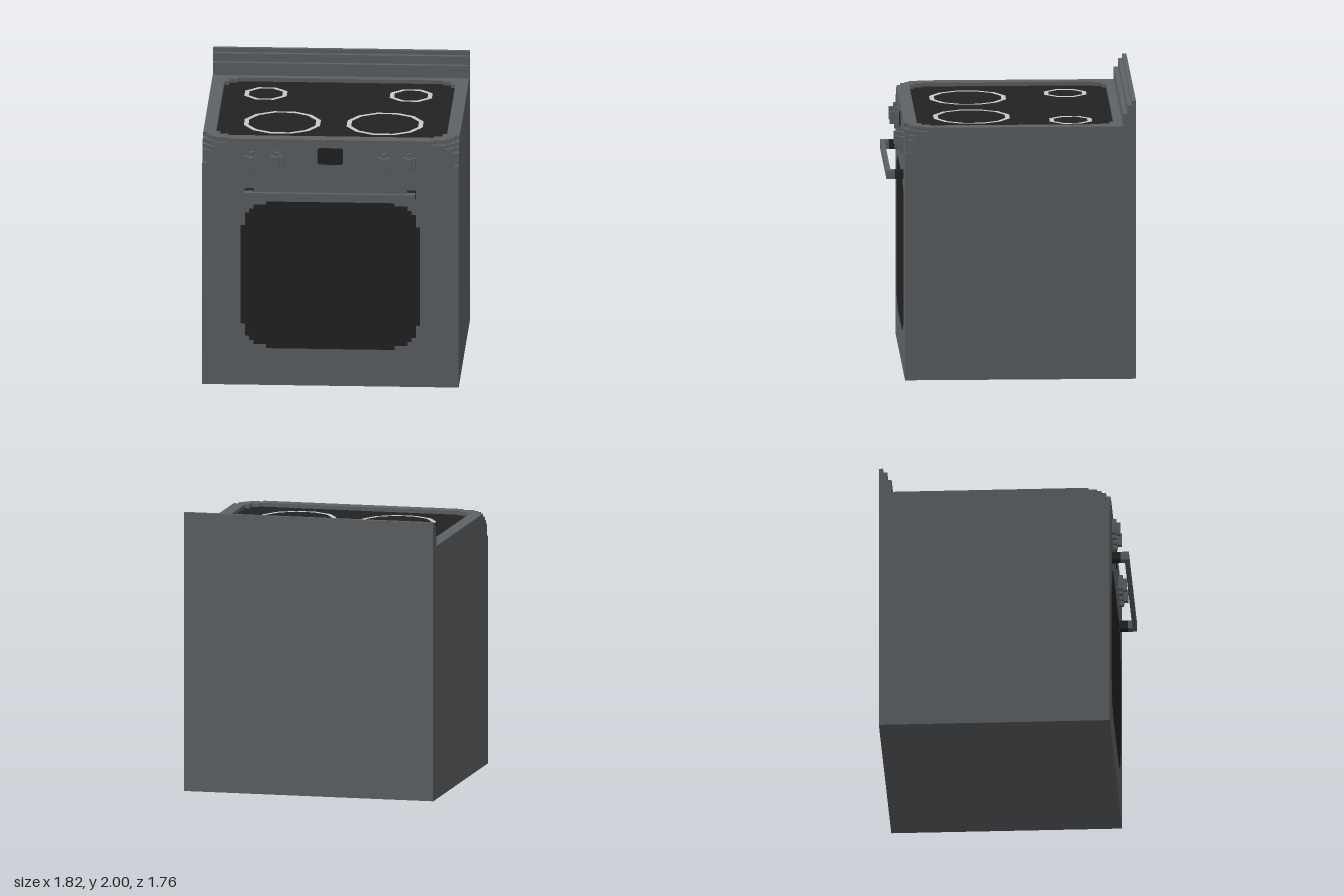
import * as THREE from 'three';

const V = 2 / 66; // one block; all sizes below are in blocks

const steel = new THREE.MeshStandardMaterial({ color: 0x5f6366 });
steel.name = 'steel grey';
const black = new THREE.MeshStandardMaterial({ color: 0x222222 });
black.name = 'glass black';
const light = new THREE.MeshStandardMaterial({ color: 0xcacaca });
light.name = 'ring light grey';

function add(parent, name, geometry, material) {
  const mesh = new THREE.Mesh(geometry, material);
  mesh.name = name;
  parent.add(mesh);
  return mesh;
}

// Box given by its min and max corners
function box(parent, name, material, [x0, x1], [y0, y1], [z0, z1]) {
  const g = new THREE.BoxGeometry((x1 - x0) * V, (y1 - y0) * V, (z1 - z0) * V);
  g.translate((x0 + x1) / 2 * V, (y0 + y1) / 2 * V, (z0 + z1) / 2 * V);
  return add(parent, name, g, material);
}

// Rectangle outline with stepped corners; steps are [inset x, inset y] from
// the side edge to the horizontal edge
function steppedPoints(hw, y0, y1, low, high) {
  const right = [
    ...[...low].reverse().map(([a, b]) => [hw - a, y0 + b]),
    ...high.map(([a, b]) => [hw - a, y1 - b]),
  ];
  const left = [...right].reverse().map(([x, y]) => [-x, y]);
  return [...right, ...left].map(([x, y]) => new THREE.Vector2(x * V, y * V));
}

// Horizontal slab extruded upward from a plan outline (outline y = -z)
function slab(parent, name, material, shape, y0, y1) {
  const g = new THREE.ExtrudeGeometry(shape, { depth: (y1 - y0) * V, bevelEnabled: false });
  g.rotateX(-Math.PI / 2).translate(0, y0 * V, 0);
  return add(parent, name, g, material);
}

// Thin panel on the front face
function panel(parent, name, points) {
  const g = new THREE.ExtrudeGeometry(new THREE.Shape(points), { depth: 0.004, bevelEnabled: false });
  g.translate(0, 0, 25 * V);
  return add(parent, name, g, black);
}

export function createModel() {
  const stove = new THREE.Group();
  stove.name = 'stove';

  // Body, with the top front corners worn away in steps
  const square = [[0, 0]];
  box(stove, 'body', steel, [-30, 30], [0, 54], [-29, 25]);
  const glassSteps = [[0, 3], [1, 3], [1, 1], [3, 1], [3, 0]];
  const layers = [
    [54, 57, [[0, 1], [1, 1], [1, 0]]],
    [57, 58, [[0, 2], [1, 2], [1, 1], [2, 1], [2, 0]]],
    [58, 59, [[0, 3], [1, 3], [1, 2], [2, 2], [2, 1], [3, 1], [3, 0]]],
    [59, 60, [[0, 5], [1, 5], [1, 3], [2, 3], [2, 2], [3, 2], [3, 1], [6, 1], [6, 0]]],
  ];
  for (const [y0, y1, steps] of layers) {
    const shape = new THREE.Shape(steppedPoints(30, -25, 29, steps, square));
    if (y1 === 60) {
      shape.holes.push(new THREE.Path(steppedPoints(27, -22, 24, glassSteps, glassSteps)));
    }
    slab(stove, y1 === 60 ? 'cooktopRim' : 'bodyTop', steel, shape, y0, y1);
  }

  // Sunken glass cooktop
  const glass = new THREE.Shape(steppedPoints(27, -22, 24, glassSteps, glassSteps));
  slab(stove, 'cooktopGlass', black, glass, 59, 59.1);

  // Burner rings
  const burner = (x, z, outer, inner, sides) => {
    const k = 1 / Math.cos(Math.PI / sides);
    const g = new THREE.RingGeometry(inner * k, outer * k, sides, 1, Math.PI / sides);
    g.rotateX(-Math.PI / 2).translate(x, 59.1 * V + 0.003, z);
    add(stove, 'burnerRing', g, light);
  };
  for (const s of [-1, 1]) {
    burner(s * 0.364, 0.267, 0.27, 0.237, 12);
    burner(s * 0.515, -0.43, 0.15, 0.118, 8);
  }

  // Stepped backguard
  box(stove, 'backguardLower', steel, [-30, 30], [60, 63], [-29, -26]);
  box(stove, 'backguardMiddle', steel, [-30, 30], [63, 65], [-29, -27]);
  box(stove, 'backguardTop', steel, [-30, 30], [65, 66], [-29, -28]);

  // Oven window and display
  const windowSteps = [[0, 6], [1, 6], [1, 3], [2, 3], [2, 2], [3, 2], [3, 1], [6, 1], [6, 0]];
  panel(stove, 'ovenWindow', steppedPoints(21, 9, 45, windowSteps, windowSteps));
  const cut = [[0, 0.4], [0.4, 0]];
  panel(stove, 'display', steppedPoints(3, 54, 58, cut, cut));

  // Knobs
  for (const x of [-18.5, -12.5, 12.5, 18.5]) {
    const knob = new THREE.Group();
    knob.name = 'knob';
    stove.add(knob);
    box(knob, 'knobBase', steel, [x - 1.5, x + 1.5], [53, 56], [25, 26]);
    box(knob, 'knobBaseTop', steel, [x - 0.5, x + 0.5], [56, 57], [25, 26]);
    box(knob, 'knobBaseBottom', steel, [x - 0.5, x + 0.5], [52, 53], [25, 26]);
    box(knob, 'knobGrip', steel, [x - 0.5, x + 0.5], [53, 56], [26, 27]);
  }

  // Door handle
  const handle = new THREE.Group();
  handle.name = 'doorHandle';
  stove.add(handle);
  box(handle, 'handleBar', steel, [-20, 20], [46, 48], [28, 29]);
  for (const x of [-20, 18]) {
    box(handle, 'handleMount', black, [x, x + 2], [46, 48], [25, 27]);
    box(handle, 'handleEnd', steel, [x, x + 2], [46, 48], [27, 28]);
  }

  return stove;
}
